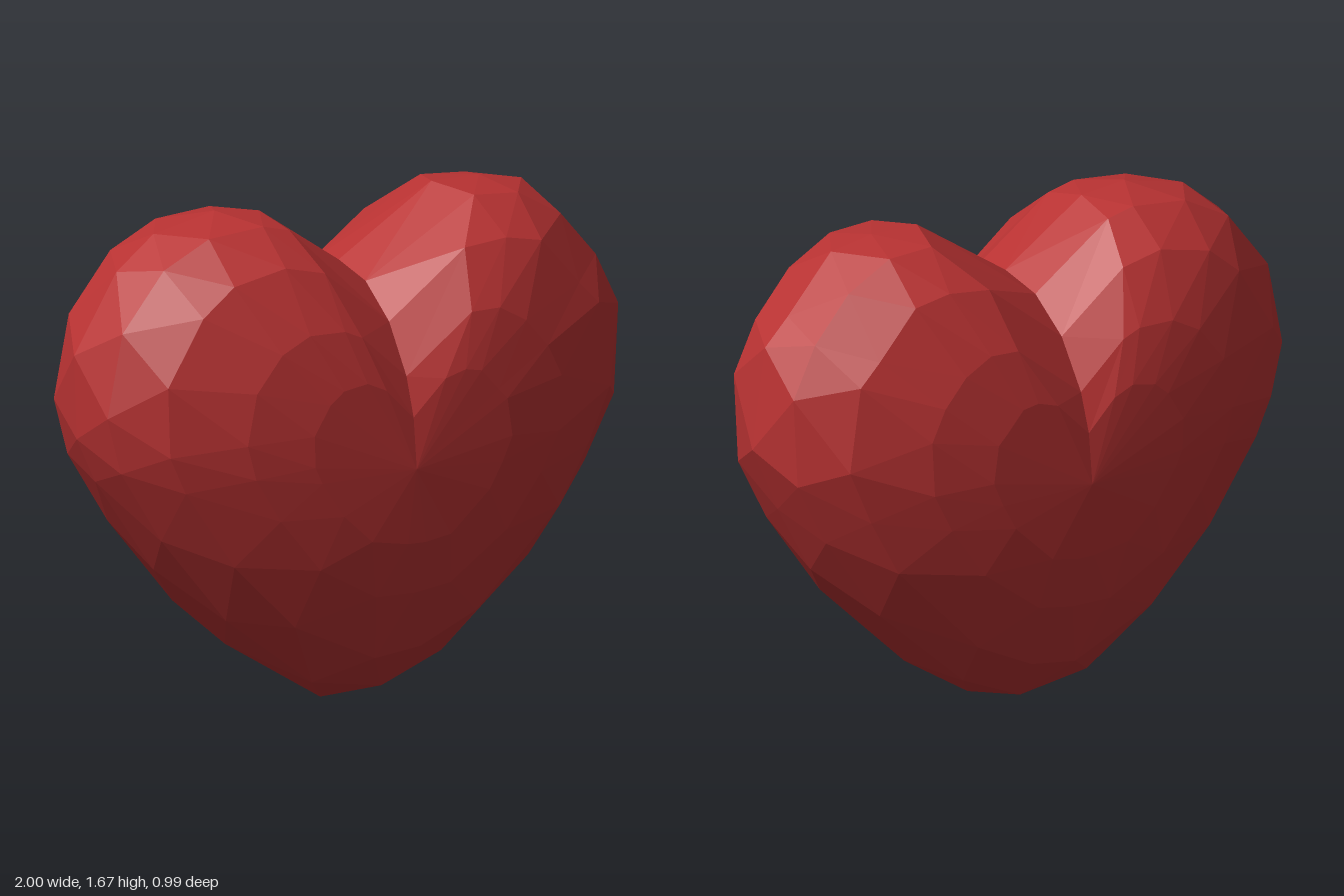
import * as THREE from 'three';

// Heart outline, clockwise from the notch and back to it
const OUTLINE = [
  [0, 1.45], [0.35, 1.67], [0.53, 1.67], [0.69, 1.64], [0.86, 1.45], [0.95, 1.36], [1, 1.02],
  [0.9, 0.8], [0.77, 0.57], [0.4, 0.19], [0.15, 0.04], [-0.07, 0], [-0.43, 0.22], [-0.7, 0.5],
  [-0.92, 0.82], [-0.99, 0.97], [-1, 1.25], [-0.84, 1.51], [-0.7, 1.62], [-0.47, 1.67],
  [-0.3, 1.65], [0, 1.45],
];
const RINGS = [-0.475, -0.43, -0.32, -0.17, 0, 0.17, 0.32, 0.43, 0.475];
const DEPTH = 0.495;
const CENTRE_Y = 0.85;

function heartGeometry() {
  const n = OUTLINE.length - 1;
  const curve = new THREE.CatmullRomCurve3(
    OUTLINE.map(([x, y]) => new THREE.Vector3(x, y, 0)), false, 'centripetal');
  const positions = [];
  const index = [];

  // Each ring is the outline shrunk along a rounded profile; the lobes are fuller than the middle
  RINGS.forEach((z, r) => {
    const shift = Math.abs(r - 4) % 2 ? 0.4 : 0;
    for (let i = 0; i < n; i++) {
      const p = curve.getPoint((i === 0 ? 0 : i + (i < n - 1 ? shift : 0)) / n);
      const power = 2 + 0.4 * Math.min(1, Math.abs(p.x) / 0.5);
      const scale = (1 - (Math.abs(z) / DEPTH) ** power) ** (1 / power);
      positions.push(p.x * scale, CENTRE_Y + (p.y - CENTRE_Y) * scale, z);
    }
  });

  // Skin between neighbouring rings, with diagonals following the stagger
  for (let r = 0; r < RINGS.length - 1; r++) {
    for (let i = 0; i < n; i++) {
      const j = (i + 1) % n;
      const a = r * n + i, b = r * n + j, c = a + n, d = b + n;
      if (r % 2) index.push(a, c, d, a, d, b);
      else index.push(a, c, b, b, c, d);
    }
  }

  // Front and back caps
  const back = positions.length / 3, front = back + 1;
  positions.push(0, CENTRE_Y, -DEPTH, 0, CENTRE_Y, DEPTH);
  const last = (RINGS.length - 1) * n;
  for (let i = 0; i < n; i++) {
    const j = (i + 1) % n;
    index.push(back, i, j, front, last + j, last + i);
  }

  const indexed = new THREE.BufferGeometry();
  indexed.setAttribute('position', new THREE.Float32BufferAttribute(positions, 3));
  indexed.setIndex(index);
  const geometry = indexed.toNonIndexed();
  geometry.computeVertexNormals();
  return geometry;
}

export function createModel() {
  const group = new THREE.Group();
  group.name = 'heart';
  const material = new THREE.MeshStandardMaterial({ color: 0xb83232, flatShading: true });
  const body = new THREE.Mesh(heartGeometry(), material);
  body.name = 'heartBody';
  group.add(body);
  return group;
}
